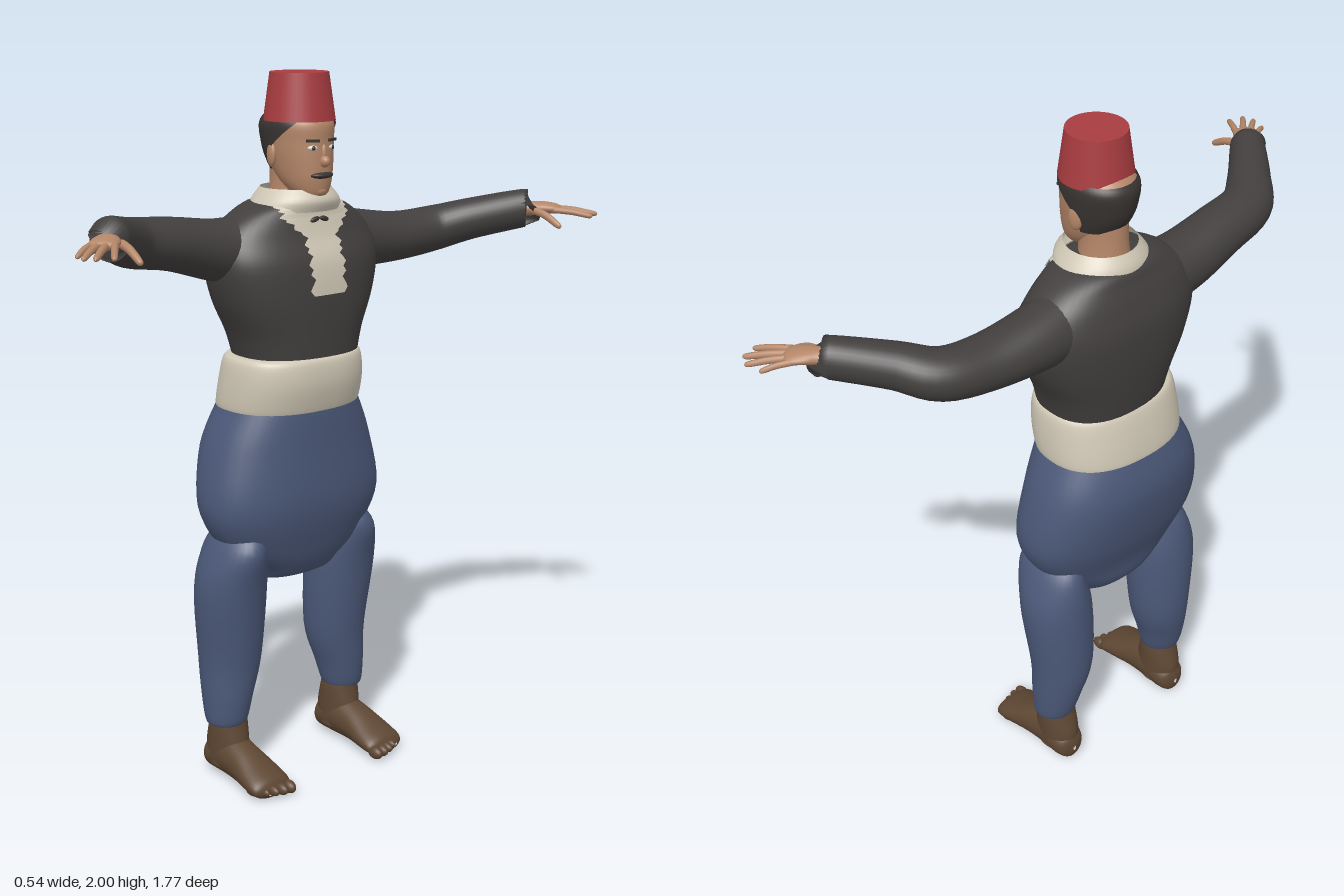
import * as THREE from 'three';
import { mergeVertices } from 'three/addons/utils/BufferGeometryUtils.js';

const V = (x, y, z) => new THREE.Vector3(x, y, z);
const X = V(1, 0, 0), Y = V(0, 1, 0);

const mat = (name, color, side = THREE.FrontSide) => {
  const m = new THREE.MeshStandardMaterial({ color, side });
  m.name = name;
  return m;
};

// Smooth interpolation of one value of the sections; t runs in section numbers
function at(sections, t, k) {
  const n = sections.length - 1;
  const i = Math.min(Math.floor(t), n - 1), f = t - i;
  const p = (j) => sections[Math.max(0, Math.min(n, j))][k];
  const m0 = (p(i + 1) - p(i - 1)) / 2, m1 = (p(i + 2) - p(i)) / 2;
  const f2 = f * f, f3 = f2 * f;
  return (2 * f3 - 3 * f2 + 1) * p(i) + (f3 - 2 * f2 + f) * m0 + (3 * f2 - 2 * f3) * p(i + 1) + (f3 - f2) * m1;
}

// Surface through elliptical sections [x, y, z, sideRadius, refRadius]
function surface(sections, ref, axis, power = 1) {
  const n = sections.length - 1;
  const centre = (t) => V(at(sections, t, 0), at(sections, t, 1), at(sections, t, 2));
  const bend = (v) => Math.sign(v) * Math.abs(v) ** power;
  return (t, th, off = 0) => {
    const T = axis || centre(Math.min(n, t + 0.05)).sub(centre(Math.max(0, t - 0.05))).normalize();
    const U = ref.clone().addScaledVector(T, -ref.dot(T)).normalize();
    const S = T.clone().cross(U);
    const a = Math.max(0.001, at(sections, t, 3)) + off, b = Math.max(0.001, at(sections, t, 4)) + off;
    return centre(t).addScaledVector(U, b * bend(Math.cos(th))).addScaledVector(S, a * bend(Math.sin(th)));
  };
}

// Grid over part of a surface; range(t) gives the start and end angle
function skin(fn, t0, t1, range, rows, cols, off = 0) {
  const pos = [], idx = [];
  for (let i = 0; i <= rows; i++) {
    const t = t0 + (t1 - t0) * i / rows, [a, b] = range(t, i);
    for (let j = 0; j <= cols; j++) pos.push(...fn(t, a + (b - a) * j / cols, off).toArray());
  }
  for (let i = 0; i < rows; i++) for (let j = 0; j < cols; j++) {
    const p = i * (cols + 1) + j, q = p + cols + 1;
    idx.push(p, p + 1, q, p + 1, q + 1, q);
  }
  let g = new THREE.BufferGeometry();
  g.setAttribute('position', new THREE.Float32BufferAttribute(pos, 3));
  g.setIndex(idx);
  g = mergeVertices(g, 1e-5);
  g.computeVertexNormals();
  return g;
}
const loft = (sections, ref, axis, power, cols = 32) =>
  skin(surface(sections, ref, axis, power), 0, sections.length - 1, () => [0, Math.PI * 2], (sections.length - 1) * 5, cols);

export function createModel() {
  const root = new THREE.Group();
  root.name = 'figure';
  const M = {
    jacket: mat('charcoal jacket', 0x423f3e),
    trousers: mat('blue trousers', 0x4b5878),
    cream: mat('cream cloth', 0xd0c8b6, THREE.DoubleSide),
    skin: mat('skin', 0xb48668),
    hair: mat('dark hair', 0x383432, THREE.DoubleSide),
    red: mat('red felt', 0xa83c40),
    shoe: mat('brown feet', 0x5e4733),
    white: mat('eye white', 0xd8d4cc),
  };
  const add = (name, geometry, material, parent = root) => {
    const m = new THREE.Mesh(geometry, material);
    m.name = name;
    parent.add(m);
    return m;
  };
  const blob = (name, material, p, s, parent = root) => {
    const m = add(name, new THREE.SphereGeometry(1, 20, 14), material, parent);
    m.position.set(...p);
    m.scale.set(...s);
    return m;
  };

  // Baggy trousers, legs and feet
  const lower = new THREE.Group();
  lower.name = 'lowerBody';
  lower.position.z = 0.012;
  root.add(lower);
  add('baggySeat', loft([
    [-.09, .588, 0, .01, .01], [-.09, .596, 0, .12, .07], [-.09, .63, 0, .155, .1], [-.085, .7, 0, .235, .122],
    [-.09, .82, 0, .292, .157], [-.105, .98, 0, .263, .17], [-.095, 1.1, 0, .208, .157], [-.09, 1.13, 0, .19, .14],
  ], X, Y, .85, 48), M.trousers, lower);
  add('sash', loft([
    [-.095, 1.085, 0, .195, .148], [-.095, 1.095, 0, .211, .159], [-.08, 1.17, 0, .21, .162],
    [-.073, 1.235, 0, .199, .15], [-.075, 1.243, 0, .17, .125],
  ], X, Y, .85, 48), M.cream, lower);
  for (const s of [1, -1]) {
    add('trouserLeg', loft([
      [-.11, .182, .22 * s, .04, .04], [-.11, .175, .22 * s, .059, .058], [-.115, .25, .212 * s, .073, .075],
      [-.12, .37, .197 * s, .092, .09], [-.105, .58, .203 * s, .102, .106], [-.085, .7, .2 * s, .072, .113],
      [-.085, .76, .18 * s, .05, .08],
    ], X, Y), M.trousers, lower);
    const foot = new THREE.Group();
    foot.name = 'foot';
    foot.position.z = .212 * s;
    lower.add(foot);
    add('ankle', loft([
      [-.115, .04, 0, .052, .07], [-.115, .1, 0, .054, .073], [-.112, .16, 0, .054, .06], [-.11, .19, 0, .05, .055],
    ], X, Y), M.shoe, foot);
    add('sole', loft([
      [-.194, .05, 0, .005, .01], [-.185, .052, 0, .034, .04], [-.16, .058, 0, .05, .05], [-.1, .07, 0, .054, .064],
      [-.03, .062, .002 * s, .057, .056], [.04, .046, .003 * s, .066, .041], [.09, .034, .003 * s, .064, .03],
      [.105, .03, .003 * s, .04, .015],
    ], Y, X), M.shoe, foot);
    for (let i = 0; i < 5; i++) {
      const r = .019 - i * .0018;
      blob('toe', M.shoe, [.106 - i * i * .0025, .026, (-.046 + i * .025) * s], [.027, r, r * .85], foot);
    }
  }

  // Jacket body with shirt front following its surface
  const torso = [
    [-.075, 1.22, 0, .178, .142], [-.08, 1.3, 0, .2, .15], [-.085, 1.4, 0, .247, .156], [-.09, 1.5, 0, .27, .152],
    [-.095, 1.57, 0, .25, .13], [-.092, 1.62, 0, .2, .113], [-.087, 1.655, 0, .13, .1], [-.085, 1.67, 0, .06, .05],
  ];
  add('jacketBody', loft(torso, X, Y, .85, 48), M.jacket);
  const jag = [0, .012, .004, -.006, .009];
  add('shirtFront', skin(surface(torso, X, Y, .85), 2.15, 6.1, (t, i) => {
    const half = (t < 4.2 ? .052 : .062 + Math.min(1, (t - 4.2) / .9) * .045) + jag[i % 5];
    const w = Math.asin(Math.min(.95, half / at(torso, t, 3)) ** (1 / .85));
    return [-w, w];
  }, 28, 16, .005), M.cream);
  add('collar', skin(surface([
    [-.08, 1.635, 0, .14, .115], [-.072, 1.665, 0, .121, .117], [-.072, 1.695, 0, .096, .098],
  ], X, Y), 0, 2, () => [0, Math.PI * 2], 8, 40), M.cream);
  for (const s of [1, -1]) {
    const tie = blob('neckTie', M.hair, [.03, 1.615, .016 * s], [.006, .007, .016]);
    tie.rotation.x = .25 * s;
  }

  // Sleeves and hands
  const arms = [
    [1, [1.53, 1.54, 1.572, 1.59, 1.613, 1.637], .705, 1.638],
    [-1, [1.53, 1.522, 1.515, 1.527, 1.555, 1.583], .73, 1.585],
  ];
  for (const [s, y, wz, hy] of arms) {
    add('sleeve', loft([
      [-.1, y[0], .13 * s, .09, .1], [-.108, y[1], .25 * s, .088, .084], [-.1, y[2], .4 * s, .08, .071],
      [-.08, y[3], .53 * s, .073, .066], [-.01, y[4], .615 * s, .061, .06], [.08, y[5], (wz - .003) * s, .051, .056],
      [.092, y[5], (wz + .01) * s, .047, .052], [.089, y[5], (wz + .007) * s, .02, .02],
    ], Y), M.jacket);
    const hand = new THREE.Group();
    hand.name = 'hand';
    root.add(hand);
    // u runs along the hand, v towards the thumb
    const P = (u, v, h, a, b) => [.09 + .68 * u + .73 * v, hy + h, (wz + .73 * u - .68 * v) * s, a, b];
    add('palm', loft([
      P(-.02, 0, 0, .026, .024), P(.025, 0, 0, .027, .021), P(.06, 0, .003, .036, .018),
      P(.1, 0, 0, .036, .014), P(.114, 0, -.001, .015, .006),
    ], Y, null, 1, 20), M.skin, hand);
    const finger = (u0, v0, u1, v1, drop, r) => add('finger', loft([
      P(u0, v0, 0, r, r), P((u0 + u1) / 2, (v0 + v1) / 2, drop * .3, r * .95, r * .95),
      P(u0 + (u1 - u0) * .92, v0 + (v1 - v0) * .92, drop * .9, r * .75, r * .75), P(u1, v1, drop, .001, .001),
    ], Y, null, 1, 10), M.skin, hand);
    finger(.085, -.028, .168, -.046, -.018, .0085);
    finger(.09, -.01, .208, -.02, -.016, .0095);
    finger(.09, .009, .218, .012, -.014, .01);
    finger(.085, .027, .2, .052, -.016, .0095);
    finger(.02, .014, .105, .095, -.042, .0115);
  }

  // Head, hair and face
  const head = [
    [-.005, 1.664, 0, .012, .02], [-.008, 1.678, 0, .042, .047], [-.03, 1.715, 0, .066, .078],
    [-.05, 1.77, 0, .08, .1], [-.06, 1.82, 0, .087, .108], [-.062, 1.87, 0, .088, .108], [-.06, 1.91, 0, .06, .07],
  ];
  add('neck', loft([
    [-.085, 1.6, 0, .078, .078], [-.085, 1.66, 0, .066, .07], [-.083, 1.71, 0, .06, .068], [-.08, 1.77, 0, .06, .07],
  ], X, Y), M.skin);
  add('head', loft(head, X, Y, 1, 40), M.skin);
  add('hair', skin(surface(head, X, Y), 2.55, 5.3, (t) => {
    const start = t < 3.6 ? 1.95 - (t - 2.55) * .25 : 1.69 - (t - 3.6) * .6;
    return [start, Math.PI * 2 - start];
  }, 20, 32, .006), M.hair);
  blob('nose', M.skin, [.049, 1.77, 0], [.019, .016, .014]);
  blob('noseBridge', M.skin, [.046, 1.788, 0], [.01, .028, .009]);
  blob('chin', M.skin, [.022, 1.692, 0], [.024, .02, .027]);
  blob('moustache', M.hair, [.038, 1.733, 0], [.022, .01, .037]);
  for (const s of [1, -1]) {
    blob('ear', M.skin, [-.07, 1.785, .084 * s], [.021, .034, .011]).rotation.y = -.3 * s;
    blob('eye', M.white, [.039, 1.806, .032 * s], [.007, .007, .014]).rotation.y = -.4 * s;
    blob('pupil', M.hair, [.043, 1.806, .032 * s], [.005, .006, .006]);
    const brow = add('eyebrow', new THREE.BoxGeometry(.009, .007, .036), M.hair);
    brow.position.set(.041, 1.825, .033 * s);
    brow.rotation.y = -.4 * s;
  }

  // Tapered felt hat
  const hat = add('hat', new THREE.CylinderGeometry(.08, .098, .127, 40), M.red);
  hat.position.set(-.054, 1.9365, 0);
  return root;
}
